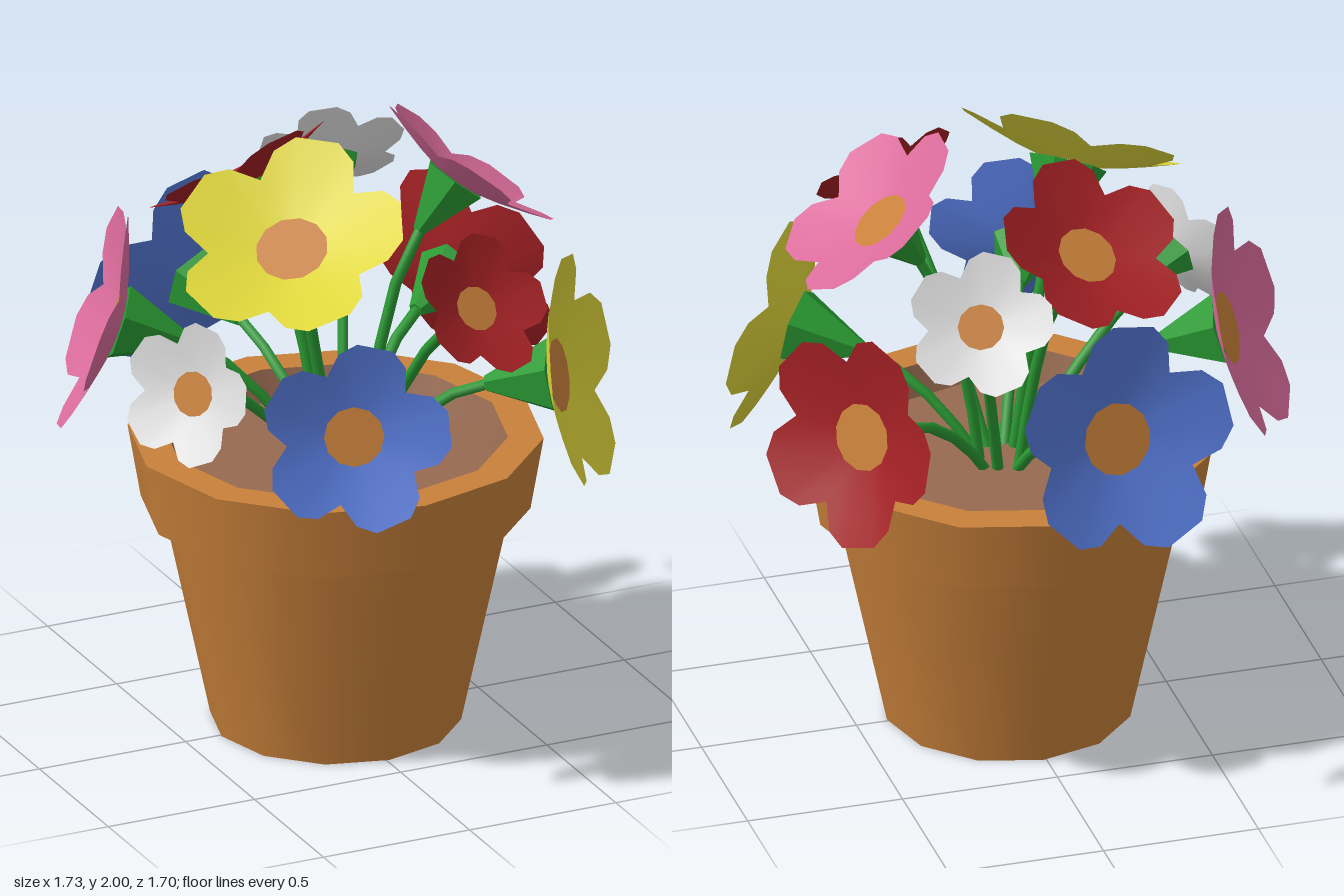
import * as THREE from 'three';

const mat = (name, color, side = THREE.FrontSide) => {
  const m = new THREE.MeshStandardMaterial({ color, side });
  m.name = name;
  return m;
};
const terracotta = mat('terracotta', 0xc8803a);
const soilBrown = mat('soil brown', 0x966a50);
const green = mat('stem green', 0x2a9a33);
const petalColours = {
  yellow: mat('petal yellow', 0xdfd63a, THREE.DoubleSide),
  blue: mat('petal blue', 0x5578d6, THREE.DoubleSide),
  red: mat('petal red', 0xa32024, THREE.DoubleSide),
  pink: mat('petal pink', 0xdb6c9c, THREE.DoubleSide),
  white: mat('petal white', 0xe2e2e2, THREE.DoubleSide),
};

const UP = new THREE.Vector3(0, 1, 0);

function add(parent, name, geometry, material) {
  const mesh = new THREE.Mesh(geometry, material);
  mesh.name = name;
  parent.add(mesh);
  return mesh;
}

// Five-petalled shallow bowl of unit radius, opening toward +z
function petalGeometry(phase) {
  const outline = [[-36, 0.7], [-23, 0.9], [-11, 0.99], [11, 0.99], [23, 0.9]];
  const steps = [0, 0.3, 0.65, 1];
  const pos = [], index = [];
  const count = outline.length * 5;
  for (const s of steps) {
    for (let p = 0; p < 5; p++) {
      for (const [deg, edge] of outline) {
        const a = THREE.MathUtils.degToRad(deg + p * 72 + phase);
        const r = 0.25 + s * (edge - 0.25);
        const h = 0.23 * Math.pow(Math.max(0, (r - 0.25) / 0.75), 1.2);
        pos.push(r * Math.cos(a), r * Math.sin(a), h);
      }
    }
  }
  for (let k = 0; k < steps.length - 1; k++) {
    for (let i = 0; i < count; i++) {
      const j = (i + 1) % count;
      const a = k * count + i, b = k * count + j;
      index.push(a, a + count, b, b, a + count, b + count);
    }
  }
  const g = new THREE.BufferGeometry();
  g.setAttribute('position', new THREE.Float32BufferAttribute(pos, 3));
  g.setIndex(index);
  g.computeVertexNormals();
  return g;
}

function flower(name, colour, centre, facing, radius, phase) {
  const group = new THREE.Group();
  group.name = name;
  const c = new THREE.Vector3(...centre);
  const n = new THREE.Vector3(...facing).normalize();

  // Blossom: petals, centre disc and calyx, turned to face along n
  const head = new THREE.Group();
  head.name = 'blossom';
  const right = new THREE.Vector3().crossVectors(UP, n).normalize();
  const up = new THREE.Vector3().crossVectors(n, right);
  head.quaternion.setFromRotationMatrix(new THREE.Matrix4().makeBasis(right, up, n));
  head.position.copy(c);
  head.scale.setScalar(radius);
  group.add(head);
  add(head, 'petals', petalGeometry(phase), petalColours[colour]);
  add(head, 'flowerCentre', new THREE.CircleGeometry(0.31, 12).translate(0, 0, 0.025), terracotta);
  const calyx = new THREE.CylinderGeometry(0.34, 0.07, 0.6, 6).toNonIndexed();
  calyx.computeVertexNormals();
  add(head, 'calyx', calyx.rotateX(Math.PI / 2).translate(0, 0, -0.305), green);

  // Stem: rises from the soil and bends into the calyx
  const end = c.clone().addScaledVector(n, -0.55 * radius);
  const bend = c.clone().addScaledVector(n, -0.6 * radius - 0.2);
  const base = new THREE.Vector3(c.x, 0, c.z).setLength(0.07).add(new THREE.Vector3(0.02, 0.83, 0.03));
  const curve = new THREE.QuadraticBezierCurve3(base, bend, end);
  add(group, 'stem', new THREE.TubeGeometry(curve, 4, 0.018, 6, false), green);
  return group;
}

function pot() {
  const group = new THREE.Group();
  group.name = 'pot';
  group.position.set(0.009, 0, 0.009);
  // Twelve-sided bands, one mesh each so their edges stay sharp
  const band = (name, from, to, material) => add(group, name, new THREE.LatheGeometry(
    [new THREE.Vector2(...from), new THREE.Vector2(...to)], 12), material);
  band('potBase', [0, 0], [0.39, 0], terracotta);
  band('potWall', [0.39, 0], [0.541, 0.705], terracotta);
  band('rimUnderside', [0.54, 0.702], [0.605, 0.718], soilBrown);
  band('rimWall', [0.605, 0.718], [0.646, 0.955], terracotta);
  band('rimTop', [0.646, 0.955], [0.535, 0.955], terracotta);
  band('innerWall', [0.535, 0.955], [0.5, 0.86], soilBrown);
  band('soil', [0.5, 0.86], [0, 0.86], soilBrown);
  return group;
}

export function createModel() {
  const model = new THREE.Group();
  model.name = 'flowerPot';
  model.add(pot());

  // name, colour, centre, facing direction, radius, petal rotation in degrees
  const flowers = [
    ['backBlueFlower', 'blue', [-0.145, 1.245, -0.65], [-0.2, 0.3, -0.93], 0.37, 6],
    ['backWhiteFlower', 'white', [0.25, 1.625, -0.51], [0.25, 0.58, -0.75], 0.232, 6],
    ['leftBackRedFlower', 'red', [0.59, 1.225, -0.38], [0.82, 0.22, -0.5], 0.345, 1],
    ['leftPinkFlower', 'pink', [0.41, 1.74, 0.03], [0.63, 0.77, 0.02], 0.325, 18],
    ['leftFrontYellowFlower', 'yellow', [0.57, 1.2, 0.42], [0.78, 0.2, 0.59], 0.375, 2],
    ['frontRedFlower', 'red', [0.21, 1.56, 0.6], [0.2, 0.59, 0.78], 0.232, -8],
    ['frontBlueFlower', 'blue', [-0.235, 1.235, 0.66], [-0.35, 0.24, 0.91], 0.303, 5],
    ['rightWhiteFlower', 'white', [-0.625, 1.32, 0.325], [-0.82, 0.29, 0.49], 0.23, 8],
    ['rightBackPinkFlower', 'pink', [-0.62, 1.345, -0.235], [-0.86, 0.3, -0.4], 0.372, 0],
    ['backRedFlower', 'red', [-0.155, 1.7, -0.293], [-0.23, 0.8, -0.54], 0.31, 8],
    ['frontYellowFlower', 'yellow', [-0.267, 1.72, 0.28], [-0.37, 0.82, 0.43], 0.367, 16],
  ];
  for (const f of flowers) model.add(flower(...f));
  return model;
}
